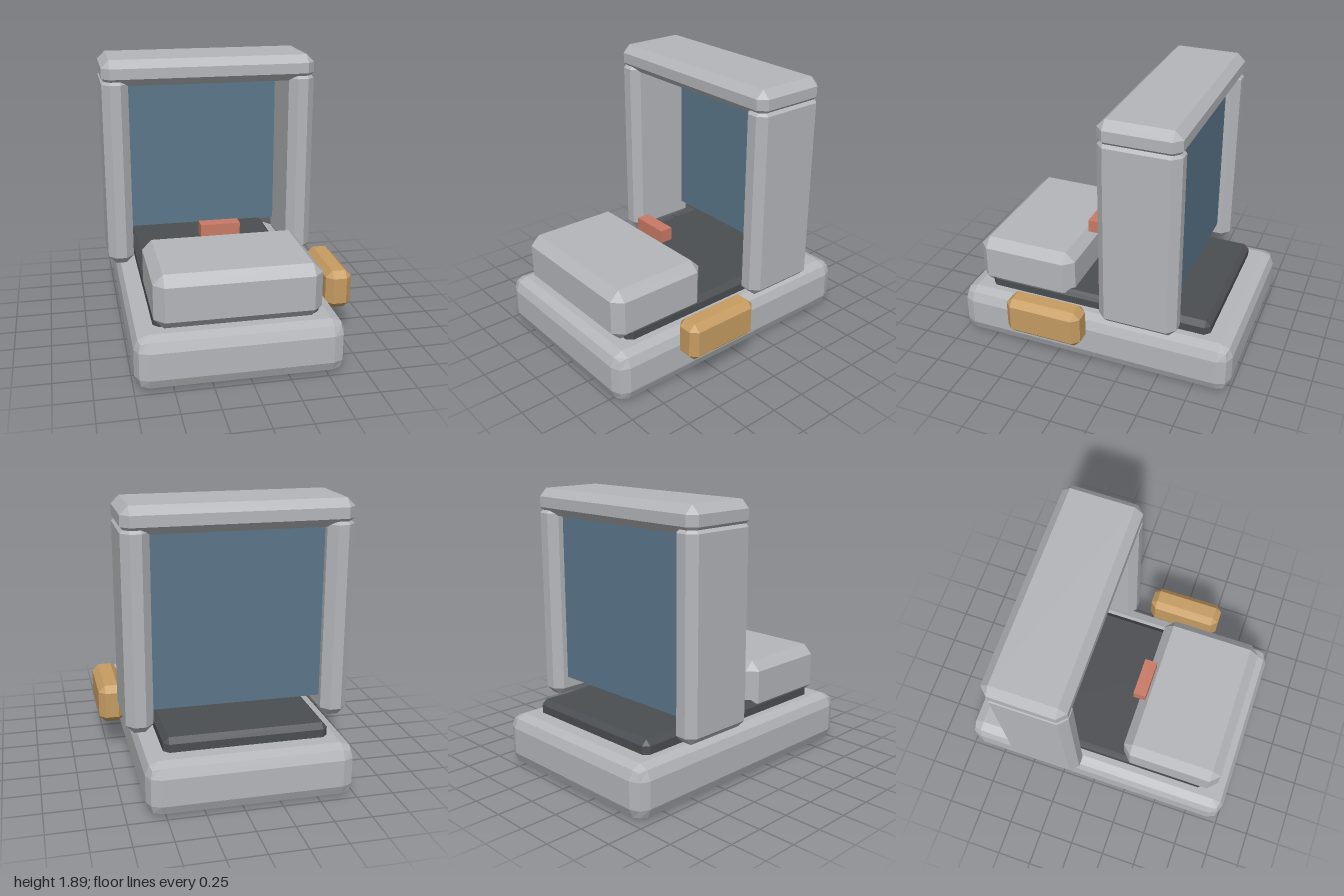
import * as THREE from 'three';
import { RoundedBoxGeometry } from 'three/addons/geometries/RoundedBoxGeometry.js';
import { ConvexGeometry } from 'three/addons/geometries/ConvexGeometry.js';

// Box with flat chamfers on every edge: three points per corner
function chamferBox(w, h, d, c) {
  const points = [];
  for (const sx of [-1, 1]) for (const sy of [-1, 1]) for (const sz of [-1, 1]) {
    const x = w / 2, y = h / 2, z = d / 2;
    points.push(
      new THREE.Vector3(sx * x, sy * (y - c), sz * (z - c)),
      new THREE.Vector3(sx * (x - c), sy * y, sz * (z - c)),
      new THREE.Vector3(sx * (x - c), sy * (y - c), sz * z));
  }
  return new ConvexGeometry(points);
}

export function createModel() {
  const model = new THREE.Group();
  model.name = 'machine';

  const colour = (name, hex) => {
    const m = new THREE.MeshStandardMaterial({ color: hex });
    m.name = name;
    return m;
  };
  const grey = colour('light grey', 0xb4b6ba);
  const dark = colour('dark grey', 0x4b4e52);
  const blue = colour('slate blue', 0x5b768a);
  const ochre = colour('ochre', 0xc69c62);
  const red = colour('coral red', 0xc97a66);

  const add = (name, geometry, material, x, y, z) => {
    const mesh = new THREE.Mesh(geometry, material);
    mesh.name = name;
    mesh.position.set(x, y, z);
    model.add(mesh);
  };

  const u = 2 / 11;      // module size shared by all parts
  const cx = -0.06;      // centre line of the main body

  // Base slab with two-step faceted edges
  const base = new RoundedBoxGeometry(7.5 * u, 2 * u, 11 * u, 1, 0.09);
  base.computeVertexNormals();
  add('base', base, grey, cx, u, 0);

  // Dark bed on the base, and the block standing on its front
  add('bed', chamferBox(6 * u, 0.145, 9 * u, 0.036), dark, cx, 0.382, 0);
  add('frontBlock', chamferBox(6 * u, 2 * u, 4 * u, 0.0655), grey, cx, 3 * u, 3 * u);

  // Portal: two pillars, a lintel and the panel between them
  for (const side of [-1, 1]) {
    add(side > 0 ? 'leftPillar' : 'rightPillar',
      chamferBox(u, 7.5 * u, 3 * u, 0.0545), grey, cx + side * 0.66, 1.095, -2 * u);
  }
  add('lintel', chamferBox(1.5, u, 3 * u, 0.0545), grey, cx, 1.798, -2 * u);
  add('panel', new THREE.BoxGeometry(1.15, 1.2, 0.01), blue, cx, 1.147, -0.54);

  // Side box and small marker
  add('sideBox', chamferBox(u, 1.5 * u, 3 * u, 0.045), ochre, 0.713, 2 * u + 0.004, 1.5 * u);
  add('marker', new THREE.BoxGeometry(1.5 * u, u / 2, u / 2), red, cx, 0.755, u);

  return model;
}
